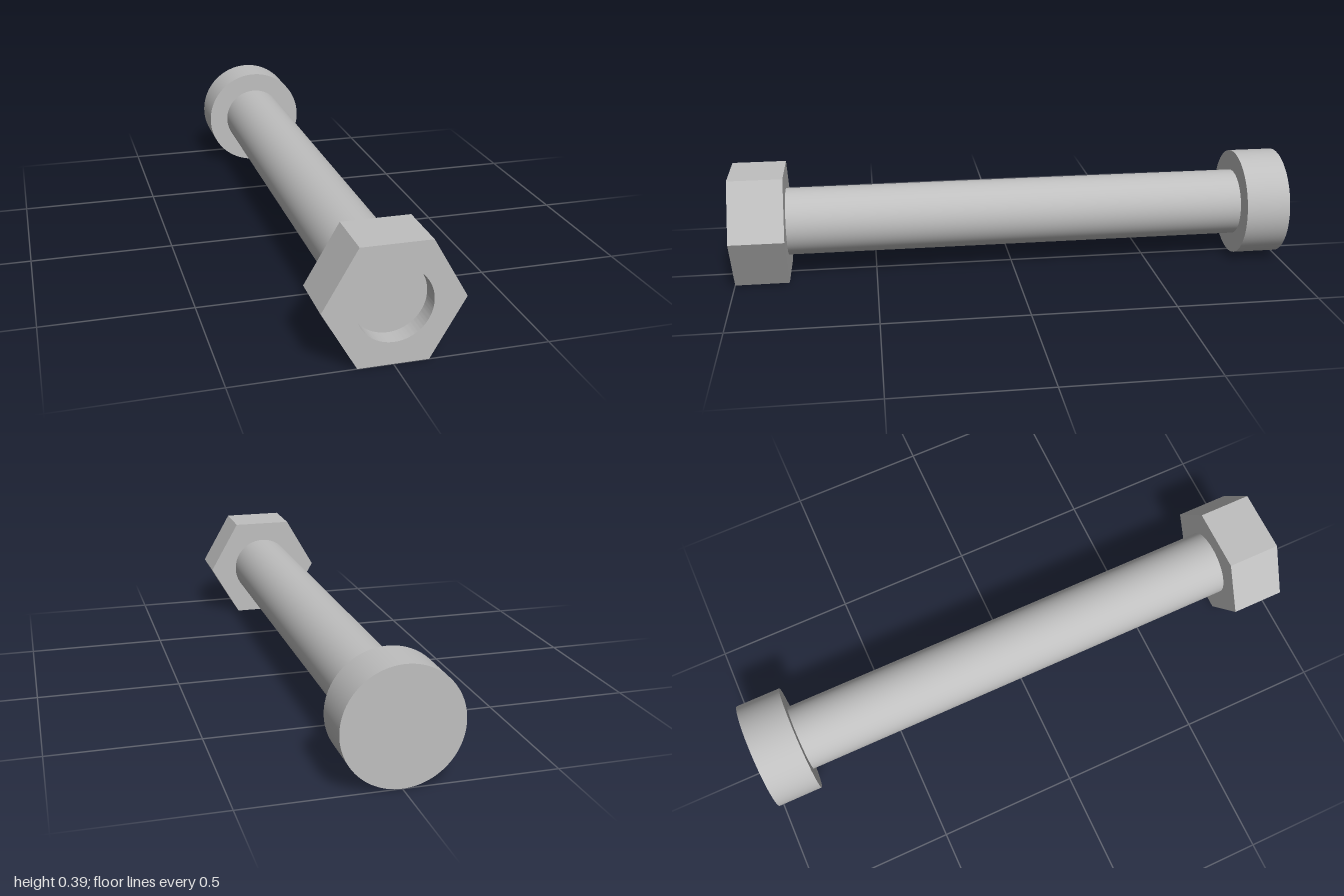
import * as THREE from 'three';
import { toCreasedNormals } from 'three/addons/utils/BufferGeometryUtils.js';

export function createModel() {
  const group = new THREE.Group();
  const steel = new THREE.MeshStandardMaterial({ color: 0xbfbfbf });
  steel.name = 'steel grey';

  const nutRadius = 0.223;
  const axisY = nutRadius * Math.cos(Math.PI / 6); // nut rests on a flat
  const boltRadius = 0.12;

  function add(name, geometry) {
    const mesh = new THREE.Mesh(geometry, steel);
    mesh.name = name;
    mesh.position.y = axisY;
    group.add(mesh);
  }

  // Solid rod along z between two depths
  function rod(radius, zBack, zFront) {
    return new THREE.CylinderGeometry(radius, radius, zFront - zBack, 96)
      .rotateX(Math.PI / 2)
      .translate(0, 0, (zBack + zFront) / 2);
  }

  // Round head at the back; the shaft stops short of the nut's front face
  add('boltHead', rod(axisY, -1, -0.84));
  add('boltShaft', rod(boltRadius, -0.84, 0.94));

  // Hexagonal nut with a through hole
  const hexagon = new THREE.Shape();
  const corners = [];
  for (let i = 0; i < 6; i++) {
    const a = (i * Math.PI) / 3;
    corners.push(new THREE.Vector2(nutRadius * Math.cos(a), nutRadius * Math.sin(a)));
  }
  hexagon.setFromPoints(corners);
  hexagon.closePath();
  const hole = new THREE.Path();
  hole.absarc(0, 0, boltRadius, 0, Math.PI * 2, true);
  hexagon.holes.push(hole);
  const nut = new THREE.ExtrudeGeometry(hexagon, { depth: 0.19, bevelEnabled: false, curveSegments: 96 });
  nut.translate(0, 0, 0.81);
  add('hexNut', toCreasedNormals(nut, 0.5));

  return group;
}
